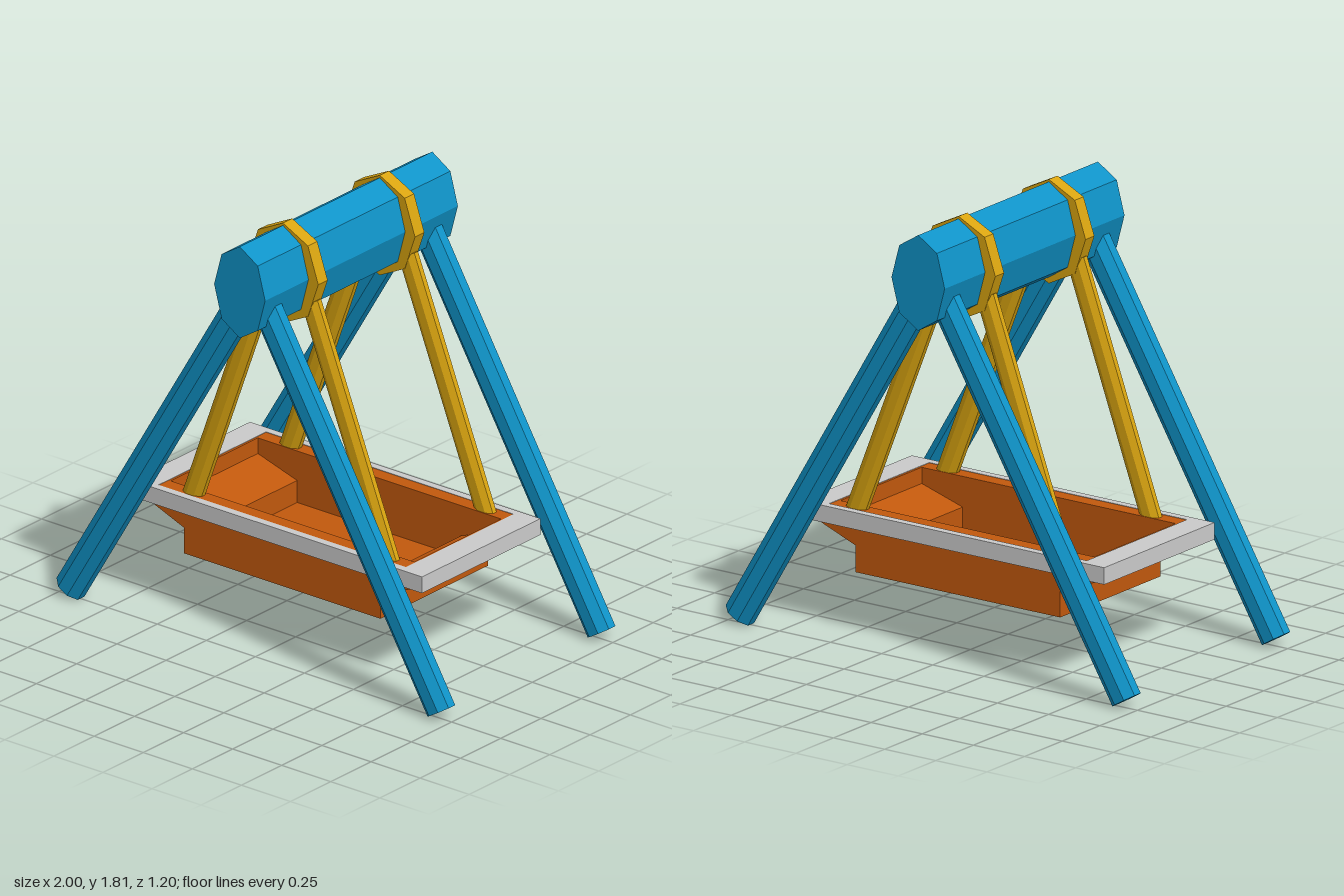
import * as THREE from 'three';

const paint = (color) => new THREE.MeshStandardMaterial({ color, flatShading: true });

// Closed shape in the XY plane, extruded along z and centred at z
function prism(name, points, depth, z, material) {
  const shape = new THREE.Shape(points.map(([x, y]) => new THREE.Vector2(x, y)));
  const geometry = new THREE.ExtrudeGeometry(shape, { depth, bevelEnabled: false });
  geometry.translate(0, 0, z - depth / 2);
  const mesh = new THREE.Mesh(geometry, material);
  mesh.name = name;
  return mesh;
}

// Stretched octagon with corners on its axes
function octagon(rx, ry, cy) {
  return Array.from({ length: 8 }, (_, i) => {
    const a = (i * Math.PI) / 4;
    return [rx * Math.cos(a), cy + ry * Math.sin(a)];
  });
}

// Eight-sided pole between two points at depth z, flattened along z
function pole(name, [x0, y0], [x1, y1], z, halfWidth, halfDepth, material) {
  const length = Math.hypot(x1 - x0, y1 - y0);
  const geometry = new THREE.CylinderGeometry(1, 1, length, 8, 1, false, Math.PI / 8);
  const k = Math.cos(Math.PI / 8);
  geometry.scale(halfWidth / k, 1, halfDepth / k);
  const mesh = new THREE.Mesh(geometry, material);
  mesh.position.set((x0 + x1) / 2, (y0 + y1) / 2, z);
  mesh.rotation.z = -Math.atan2(x1 - x0, y1 - y0);
  mesh.name = name;
  return mesh;
}

// Mirror a right half-profile to make the full loop
const mirrored = (half) => [...half, ...half.map(([x, y]) => [-x, y]).reverse()];

export function createModel() {
  const group = new THREE.Group();
  group.name = 'swing';
  const blue = paint(0x0f93c8);
  const yellow = paint(0xd9a410);
  const orange = paint(0xc2590d);
  const grey = paint(0xcccccc);

  // Top beam
  group.add(prism('topBeam', octagon(0.13, 0.197, 1.605), 1.195, 0, blue));

  for (const end of [1, -1]) {
    const where = end > 0 ? 'front' : 'back';

    // A-frame legs
    for (const side of [1, -1]) {
      group.add(pole(where + (side > 0 ? 'LeftLeg' : 'RightLeg'),
        [side * 0.945, 0.035], [side * 0.035, 1.56], end * 0.497, 0.063, 0.049, blue));
    }

    // Collar around the beam and its two hanger bars
    group.add(prism(where + 'Collar', octagon(0.18, 0.215, 1.597), 0.058, end * 0.3, yellow));
    group.add(pole(where + 'LeftHanger', [0.525, 0.48], [0.12, 1.5], end * 0.3, 0.045, 0.027, yellow));
    group.add(pole(where + 'RightHanger', [-0.487, 0.48], [-0.115, 1.5], end * 0.3, 0.045, 0.027, yellow));
  }

  // Tub: a stepped trough between two solid side walls
  const outside = [[0.5, 0.25], [0.5, 0.36], [0.7, 0.437], [0.63, 0.437], [0.63, 0.507]];
  const inside = [[0.62, 0.507], [0.62, 0.44], [0.42, 0.38], [0.42, 0.285]];
  const tub = new THREE.Group();
  tub.name = 'tub';
  tub.add(prism('trough', mirrored([...outside, ...inside].reverse()), 0.54, 0, orange));
  for (const end of [1, -1]) {
    tub.add(prism(end > 0 ? 'frontWall' : 'backWall', mirrored(outside), 0.063, end * 0.3015, orange));
  }
  group.add(tub);

  // Rim around the tub
  const rect = (T, x, y) => new T([[-x, -y], [x, -y], [x, y], [-x, y]].map((p) => new THREE.Vector2(...p)));
  const rimShape = rect(THREE.Shape, 0.74, 0.367);
  rimShape.holes.push(rect(THREE.Path, 0.63, 0.333));
  const rim = new THREE.Mesh(
    new THREE.ExtrudeGeometry(rimShape, { depth: 0.07, bevelEnabled: false }), grey);
  rim.rotation.x = -Math.PI / 2;
  rim.position.y = 0.439;
  rim.name = 'rim';
  group.add(rim);

  return group;
}
